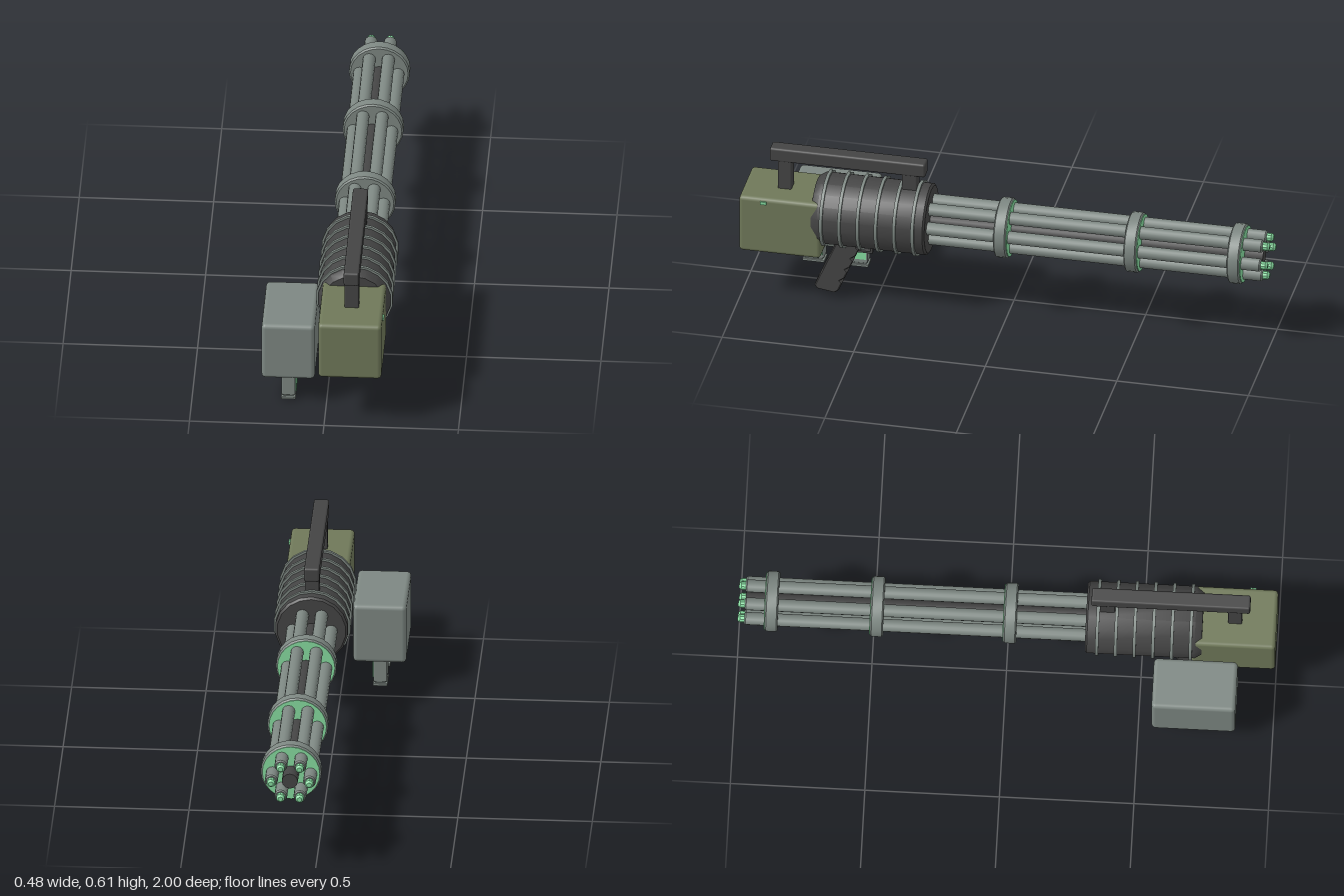
import * as THREE from 'three';
import { RoundedBoxGeometry } from 'three/addons/geometries/RoundedBoxGeometry.js';
import { toCreasedNormals } from 'three/addons/utils/BufferGeometryUtils.js';

const CX = 0.095, CY = 0.365; // axis of the drum and barrels

export function createModel() {
  const root = new THREE.Group();
  const mat = (name, color) => {
    const m = new THREE.MeshStandardMaterial({ color });
    m.name = name;
    return m;
  };
  const dark = mat('darkMetal', 0x444444);
  const grey = mat('greyMetal', 0x7d8782);
  const olive = mat('olivePaint', 0x6f7859);
  const green = mat('greenAccent', 0x86dca0);

  const add = (name, geo, material, parent = root) => {
    const m = new THREE.Mesh(geo, material);
    m.name = name;
    parent.add(m);
    return m;
  };
  // bevelled box given by its min and max along each axis
  const box = (name, material, [x0, x1], [y0, y1], [z0, z1], bevel = 0.008, parent = root) => {
    const geo = bevel
      ? new RoundedBoxGeometry(x1 - x0, y1 - y0, z1 - z0, 2, bevel)
      : new THREE.BoxGeometry(x1 - x0, y1 - y0, z1 - z0);
    add(name, geo, material, parent).position.set((x0 + x1) / 2, (y0 + y1) / 2, (z0 + z1) / 2);
  };
  // solid turned about the main axis, profile of [radius, z] from -z to +z
  const turned = (name, material, profile, sides, x = CX, y = CY, parent = root) => {
    const pts = profile.map(([r, z]) => new THREE.Vector2(r, z));
    const geo = new THREE.LatheGeometry(pts, sides);
    geo.rotateX(Math.PI / 2);
    add(name, toCreasedNormals(geo, 0.6), material, parent).position.set(x, y, 0);
  };

  // ribbed drum
  turned('drum', dark, [[0, 0.293], [0.128, 0.293], [0.136, 0.3], [0.136, 0.7], [0.12, 0.726], [0, 0.726]], 18);
  for (let i = 0; i < 6; i++) {
    const z = 0.337 + i * 0.0695;
    turned('drumRib', grey, [[0.13, z - 0.006], [0.144, z - 0.006], [0.144, z + 0.006], [0.13, z + 0.006]], 18);
  }

  // barrel cluster
  turned('spindle', dark, [[0, -0.972], [0.03, -0.972], [0.03, 0.3], [0, 0.3]], 12);
  for (let i = 0; i < 6; i++) {
    const a = (i * Math.PI) / 3;
    const x = CX - 0.002 + 0.071 * Math.cos(a), y = CY + 0.071 * Math.sin(a);
    turned('barrel', grey, [[0, -0.975], [0.02, -0.975], [0.024, -0.97], [0.024, 0.3], [0, 0.3]], 12, x, y);
    turned('barrelTip', green, [[0, -1], [0.009, -1], [0.016, -0.992], [0.016, -0.974]], 10, x, y);
  }
  // clamps around the barrels, with a green face towards the muzzle
  for (const z of [-0.012, -0.507, -0.899]) {
    turned('barrelClamp', grey, [[0, z], [0.107, z], [0.113, z + 0.005], [0.113, z + 0.043], [0.107, z + 0.048], [0, z + 0.048]], 24);
    turned('clampFace', green, [[0, z - 0.003], [0.107, z - 0.003], [0.107, z + 0.002]], 24);
  }

  // rear housing with a small side button
  box('rearHousing', olive, [-0.022, 0.213], [0.209, 0.442], [0.69, 1], 0.015);
  box('sideButton', green, [0.21, 0.218], [0.419, 0.431], [0.895, 0.918], 0);

  // carrying handle
  box('handleBar', dark, [0.067, 0.124], [0.555, 0.61], [0.312, 0.902]);
  box('handleRearPost', dark, [0.069, 0.122], [0.43, 0.565], [0.82, 0.872], 0.005);
  box('handleFrontPost', dark, [0.069, 0.122], [0.48, 0.565], [0.343, 0.4], 0.005);

  // side box on two legs
  box('ammoBox', grey, [-0.241, -0.043], [0.11, 0.344], [0.551, 0.863], 0.016);
  for (const z of [0.788, 0.622]) {
    const leg = new THREE.Group();
    leg.name = 'leg';
    root.add(leg);
    box('legPost', grey, [-0.168, -0.117], [0.016, 0.12], [z - 0.039, z + 0.039], 0.005, leg);
    box('legNeck', grey, [-0.161, -0.122], [0.006, 0.03], [z - 0.033, z + 0.033], 0, leg);
    box('legFoot', grey, [-0.17, -0.115], [0, 0.011], [z - 0.042, z + 0.042], 0.003, leg);
    box('legPlate', green, [-0.118, -0.113], [0.034, 0.106], [z - 0.034, z + 0.034], 0, leg);
  }

  // slanted grip with finger notches along its muzzle side, drawn in (z, y)
  const grip = new THREE.Shape();
  grip.moveTo(0.73, 0.05);
  grip.lineTo(0.72, 0.035);
  grip.lineTo(0.655, 0.025);
  grip.lineTo(0.643, 0.033);
  for (let i = 0; i < 4; i++) {
    const t = i * 0.05;
    grip.lineTo(0.636 - t * 0.42, 0.042 + t);
    grip.lineTo(0.624 - t * 0.42, 0.07 + t);
    grip.lineTo(0.632 - t * 0.42, 0.08 + t);
  }
  grip.lineTo(0.55, 0.27);
  grip.lineTo(0.635, 0.27);
  const gripGeo = new THREE.ExtrudeGeometry(grip, {
    depth: 0.068, bevelEnabled: true, bevelThickness: 0.006, bevelSize: 0.004, bevelOffset: -0.004, bevelSegments: 1,
  });
  gripGeo.rotateY(-Math.PI / 2);
  add('grip', gripGeo, dark).position.x = 0.129;

  // trigger guard and trigger
  box('guardBottom', dark, [0.085, 0.105], [0.194, 0.202], [0.515, 0.6], 0);
  box('guardFront', dark, [0.085, 0.105], [0.194, 0.26], [0.515, 0.523], 0);
  box('trigger', dark, [0.089, 0.101], [0.21, 0.26], [0.552, 0.562], 0);

  return root;
}
